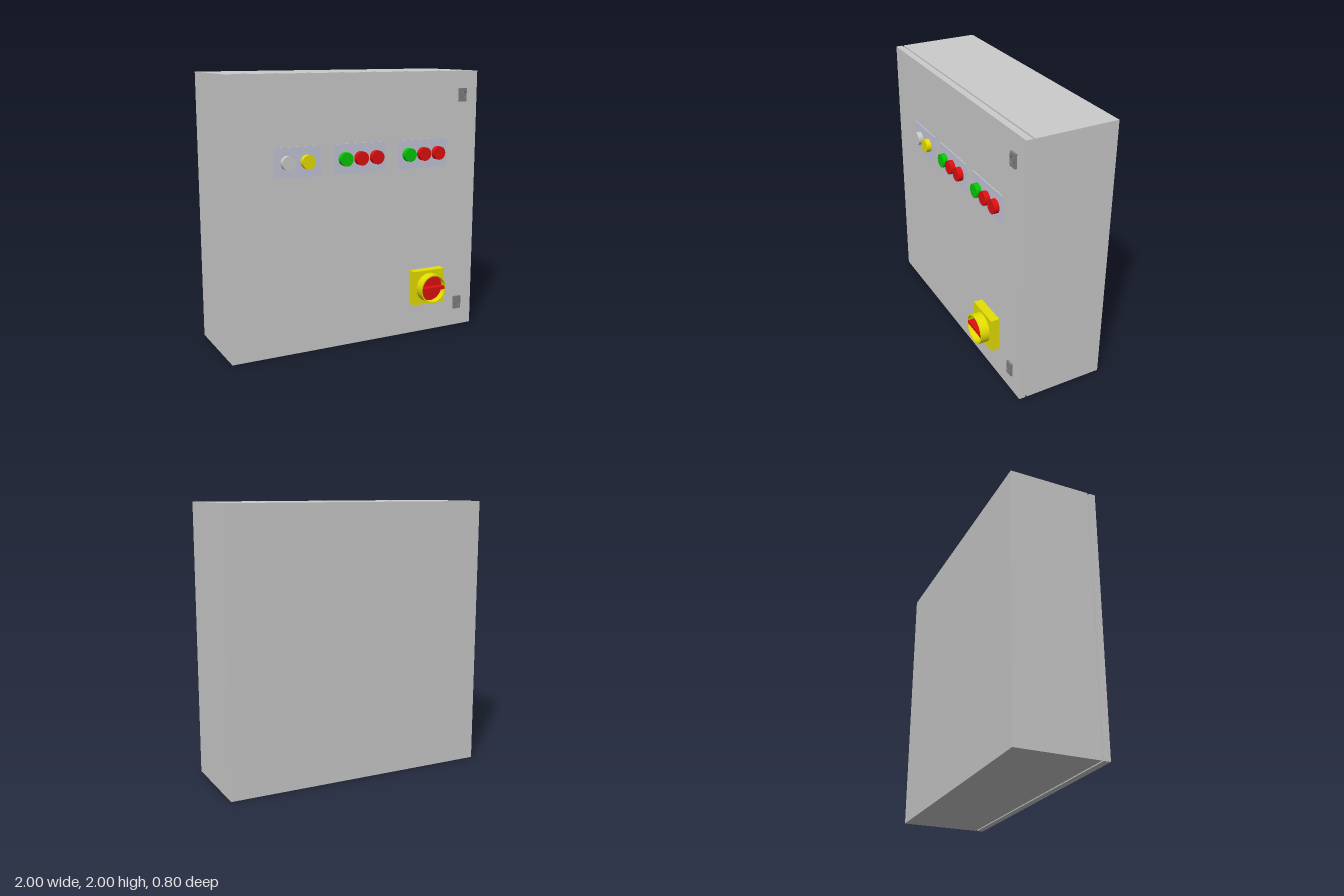
import * as THREE from 'three';

const mat = (color) => new THREE.MeshStandardMaterial({ color });
const grey = mat(0xcccccc), labelGrey = mat(0xc4c7d8), dark = mat(0x808080);
const yellow = mat(0xe6e000), red = mat(0xe01010), green = mat(0x08c808);

const DOOR = 0.265; // front face of the door

export function createModel() {
  const model = new THREE.Group();

  const add = (name, geometry, material, x, y, z, parent = model) => {
    const mesh = new THREE.Mesh(geometry, material);
    mesh.name = name;
    mesh.position.set(x, y, z);
    parent.add(mesh);
    return mesh;
  };
  // Box given by its centre in x and y and its range in z
  const box = (name, material, x, y, w, h, z0, z1, parent) =>
    add(name, new THREE.BoxGeometry(w, h, z1 - z0), material, x, y, (z0 + z1) / 2, parent);
  // Cylinder pointing forward
  const disc = (name, material, x, y, r, z0, z1, parent, sides = 40) =>
    add(name, new THREE.CylinderGeometry(r, r, z1 - z0, sides).rotateX(Math.PI / 2),
      material, x, y, (z0 + z1) / 2, parent);
  const group = (name) => {
    const g = new THREE.Group();
    g.name = name;
    model.add(g);
    return g;
  };

  // Cabinet, recessed seal and door
  box('cabinetBody', grey, 0, 1, 2, 2, -0.4, 0.203);
  box('doorSeal', grey, 0, 1, 1.93, 1.94, 0.203, 0.216);
  box('door', grey, 0, 1, 2, 2, 0.216, DOOR);

  // Button panels: centre, width, and [x, material] of each button
  const panels = [
    [-0.492, 0.35, [[-0.57, grey], [-0.42, yellow]]],
    [-0.002, 0.417, [[-0.127, green], [-0.003, red], [0.123, red]]],
    [0.522, 0.417, [[0.397, green], [0.523, red], [0.648, red]]],
  ];
  for (const [x, width, buttons] of panels) {
    const panel = group('buttonPanel');
    box('panelPlate', labelGrey, x, 1.395, width, 0.215, DOOR, 0.272, panel);
    for (const [bx, material] of buttons)
      disc('pushButton', material, bx, 1.395, 0.05, 0.27, 0.31, panel);
  }

  // Main switch: square base, hollow collar, recessed dial and grip
  const mainSwitch = group('mainSwitch');
  const sx = 0.565, sy = 0.37;
  box('switchBase', yellow, sx, sy, 0.265, 0.265, DOOR, 0.33, mainSwitch);
  const ring = new THREE.Shape().absarc(0, 0, 0.111, 0, Math.PI * 2);
  ring.holes.push(new THREE.Path().absarc(0, 0, 0.101, 0, Math.PI * 2, true));
  add('switchCollar', new THREE.ExtrudeGeometry(ring, { depth: 0.07, bevelEnabled: false, curveSegments: 48 }),
    yellow, sx, sy, 0.33, mainSwitch);
  disc('switchDial', red, sx, sy, 0.101, 0.33, 0.35, mainSwitch, 48);
  box('switchGrip', red, sx, sy, 0.196, 0.024, 0.35, 0.398, mainSwitch);

  // Door locks: plate with a round hole and a diamond key insert
  const plate = new THREE.Shape([[-0.0325, -0.05], [0.0325, -0.05], [0.0325, 0.05], [-0.0325, 0.05]]
    .map(([x, y]) => new THREE.Vector2(x, y)));
  plate.holes.push(new THREE.Path().absarc(0, 0, 0.029, 0, Math.PI * 2, true));
  const plateGeometry = new THREE.ExtrudeGeometry(plate, { depth: 0.015, bevelEnabled: false, curveSegments: 20 });
  for (const y of [0.187, 1.82]) {
    const lock = group('doorLock');
    add('lockPlate', plateGeometry, dark, 0.866, y, DOOR, lock);
    disc('lockCore', dark, 0.866, y, 0.029, DOOR, 0.272, lock, 24);
    disc('lockInsert', dark, 0.866, y, 0.027, 0.272, 0.279, lock, 4);
  }
  return model;
}
